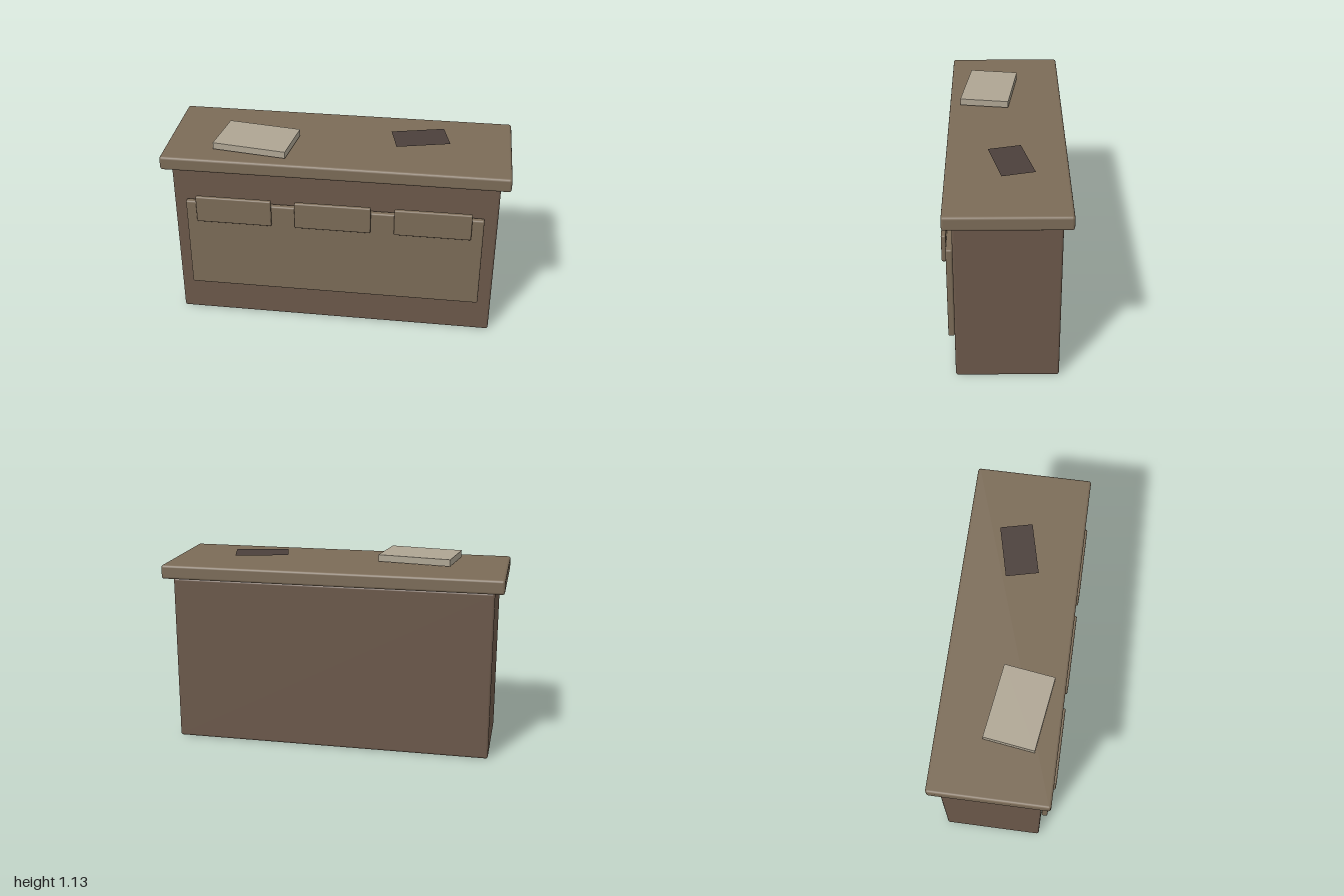
import * as THREE from 'three';
import { RoundedBoxGeometry } from 'three/addons/geometries/RoundedBoxGeometry.js';

const paint = (color) => new THREE.MeshStandardMaterial({ color });

export function createModel() {
  const model = new THREE.Group();
  model.name = 'counter';
  const darkWood = paint(0x6b584a);
  const lightWood = paint(0x7b6b57);
  const paper = paint(0xaea593);
  const leather = paint(0x4b403b);
  leather.side = THREE.DoubleSide;

  function add(name, geometry, material, x, y, z, turn = 0) {
    const mesh = new THREE.Mesh(geometry, material);
    mesh.name = name;
    mesh.position.set(x, y, z);
    mesh.rotation.y = turn;
    model.add(mesh);
    return mesh;
  }
  const softBox = (w, h, d, bevel) => new RoundedBoxGeometry(w, h, d, 2, bevel);

  // Cabinet and overhanging top
  add('cabinetBody', softBox(1.89, 0.997, 0.58, 0.014), darkWood, 0, 0.4985, -0.005);
  add('counterTop', softBox(2, 0.083, 0.682, 0.015), lightWood, 0, 1.0425, -0.006);

  // Raised front panel with three plaques along its upper edge
  add('frontPanel', softBox(1.736, 0.578, 0.036, 0.01), lightWood, 0, 0.508, 0.306);
  [-0.58, 0, 0.578].forEach((x, i) => {
    add(`frontPlaque${i + 1}`, softBox(0.443, 0.166, 0.026, 0.008), lightWood, x, 0.76, 0.337);
  });

  // Items lying on the top
  add('ledger', new THREE.BoxGeometry(0.434, 0.04, 0.293), paper, -0.475, 1.112, 0.095, -0.14);
  const sheet = new THREE.PlaneGeometry(0.314, 0.19).rotateX(-Math.PI / 2);
  add('sheet', sheet, leather, 0.47, 1.12, -0.03, 0.24);

  return model;
}
